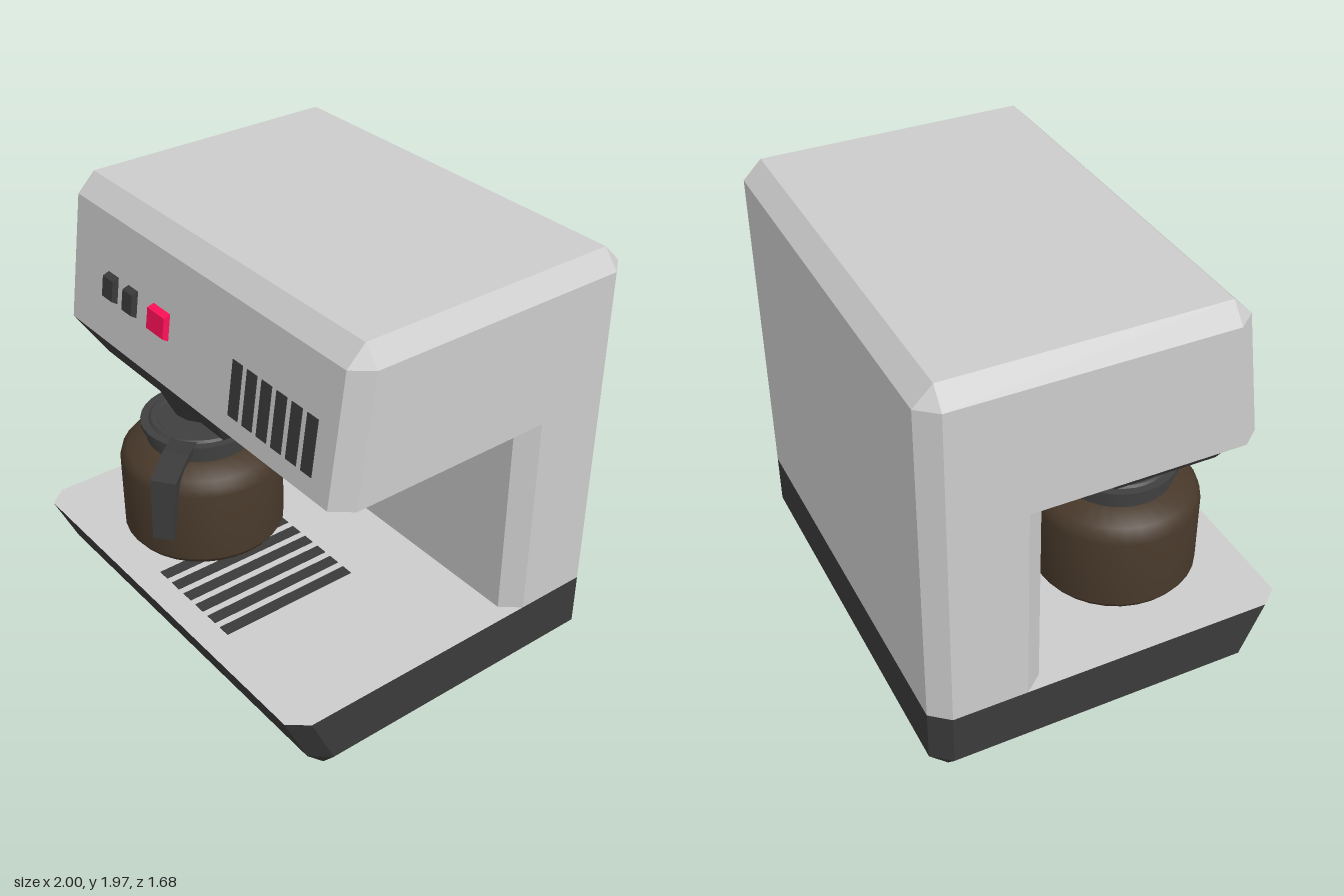
import * as THREE from 'three';
import { toCreasedNormals } from 'three/addons/utils/BufferGeometryUtils.js';

const mat = (color) => new THREE.MeshStandardMaterial({ color, flatShading: true });
const grey = mat(0xcccccc), dark = mat(0x3a3a3a), pink = mat(0xff1058);
const smooth = (color) => new THREE.MeshStandardMaterial({ color });

// Eight-sided horizontal section: half width x, depth zb..zf, corners cut by cx, cz
function section(y, x, zf, zb, cx = 0, cz = 0) {
  const right = [[x - cx, zf], [x, zf - cz], [x, zb + cz], [x - cx, zb]];
  const left = right.map(([a, z]) => [-a, z]).reverse();
  return [...right, ...left].map(([a, z]) => [a, y, z]);
}

// Joins stacked sections with sides, optionally closing bottom and top
function loft(sections, bottom = true, top = true) {
  const pos = [], n = sections[0].length;
  const tri = (a, b, c) => pos.push(...a, ...b, ...c);
  for (let s = 0; s < sections.length - 1; s++) {
    const lo = sections[s], hi = sections[s + 1];
    for (let i = 0; i < n; i++) {
      const j = (i + 1) % n;
      tri(lo[i], lo[j], hi[j]);
      tri(lo[i], hi[j], hi[i]);
    }
  }
  const first = sections[0], last = sections[sections.length - 1];
  for (let i = 1; i < n - 1; i++) {
    if (bottom) tri(first[0], first[i + 1], first[i]);
    if (top) tri(last[0], last[i], last[i + 1]);
  }
  const g = new THREE.BufferGeometry();
  g.setAttribute('position', new THREE.Float32BufferAttribute(pos, 3));
  g.computeVertexNormals();
  return g;
}

function lathe(points, segments, crease) {
  const g = new THREE.LatheGeometry(points.map(([r, y]) => new THREE.Vector2(r, y)), segments);
  return toCreasedNormals(g, crease);
}

export function createModel() {
  const model = new THREE.Group();
  const add = (name, geometry, material, x = 0, y = 0, z = 0, parent = model) => {
    const m = new THREE.Mesh(geometry, material);
    m.name = name;
    m.position.set(x, y, z);
    parent.add(m);
    return m;
  };
  const cx = 0.07, cz = 0.085, back = -0.84;

  // Base tray with sloping front and grey deck
  const deck = section(0.335, 1, 0.84, back, cx, cz);
  add('base', loft([
    section(0, 0.93, 0.64, -0.755),
    section(0.085, 1, 0.725, back, cx, cz),
    deck,
  ], true, false), dark);
  add('deck', loft([deck], false, true), grey);

  // Rear column and overhanging head
  add('column', loft([
    section(0.335, 1, -0.33, back, cx, cz),
    section(1.3, 1, -0.33, back, cx, cz),
  ], false, false), grey);
  add('head', loft([
    section(1.3, 1, 0.632, back, cx, cz),
    section(1.88, 1, 0.55, back, cx, cz),
    section(1.965, 0.93, 0.465, -0.755),
  ]), grey);

  // Control panel: a frame lying on the sloping front of the head
  const panel = new THREE.Group();
  panel.name = 'controlPanel';
  panel.position.set(0, 1.3, 0.632);
  panel.rotation.x = -Math.atan2(0.082, 0.58);
  model.add(panel);

  // Rocker buttons, tapered towards the front
  const button = (name, x, width, material) => {
    const g = new THREE.BoxGeometry(width, 0.127, 0.034);
    const p = g.attributes.position;
    for (let i = 0; i < p.count; i++) if (p.getZ(i) > 0) p.setY(i, p.getY(i) * 0.74);
    add(name, g, material, x, 0.27, 0.013, panel);
  };
  button('leftSwitch', -0.61, 0.08, dark);
  button('rightSwitch', -0.453, 0.075, dark);
  button('powerButton', -0.232, 0.125, pink);

  // Vent slots in the panel and drip slots in the deck
  for (let i = 0; i < 6; i++) {
    add('ventSlot', new THREE.BoxGeometry(0.066, 0.248, 0.006), dark, 0.312 + i * 0.095, 0.21, 0, panel);
    add('dripSlot', new THREE.BoxGeometry(0.058, 0.006, 0.68), dark, -0.145 + i * 0.0945, 0.335, 0.375);
  }

  // Filter holder: tapered tray, funnel and nozzle
  add('filterTray', loft([
    section(1.125, 0.465, 0.525, 0.05),
    section(1.3, 0.5625, 0.632, -0.05),
  ]), dark, -0.367);
  add('filterFunnel', new THREE.CylinderGeometry(0.235, 0.165, 0.15, 16), dark, -0.38, 1.05, 0.288);
  add('nozzle', new THREE.CylinderGeometry(0.068, 0.052, 0.035, 16), dark, -0.38, 0.96, 0.288);

  // Carafe
  const carafe = new THREE.Group();
  carafe.name = 'carafe';
  carafe.position.set(-0.405, 0, 0.315);
  model.add(carafe);
  add('carafeBody', lathe([
    [0, 0.337], [0.355, 0.337], [0.375, 0.365], [0.376, 0.71],
    [0.366, 0.745], [0.34, 0.775], [0.25, 0.82], [0, 0.82],
  ], 32, 0.5), smooth(0x47382a), 0, 0, 0, carafe);
  add('carafeCollar', lathe([
    [0.25, 0.8], [0.25, 0.885], [0.272, 0.885], [0.272, 0.908], [0.235, 0.908],
    [0.225, 0.918], [0.2, 0.918], [0.19, 0.908], [0, 0.908],
  ], 32, 0.5), smooth(0x3f3f3f), 0, 0, 0, carafe);

  // Handle: bent strap pointing out to the front corner, narrowing downwards
  const strap = new THREE.Shape([
    [0.2, 0.885], [0.38, 0.872], [0.43, 0.845], [0.455, 0.8], [0.503, 0.59],
    [0.53, 0.59], [0.49, 0.868], [0.32, 0.91], [0.2, 0.914],
  ].map(([r, y]) => new THREE.Vector2(r, y)));
  const strapGeo = new THREE.ExtrudeGeometry(strap, { depth: 0.12, bevelEnabled: false });
  strapGeo.translate(0, 0, -0.06);
  const p = strapGeo.attributes.position;
  for (let i = 0; i < p.count; i++) p.setZ(i, p.getZ(i) * (0.8 + 0.2 * (p.getY(i) - 0.59) / 0.32));
  add('carafeHandle', strapGeo, dark, 0, 0, 0, carafe).rotation.y = -Math.atan2(0.8, 0.6);

  return model;
}
